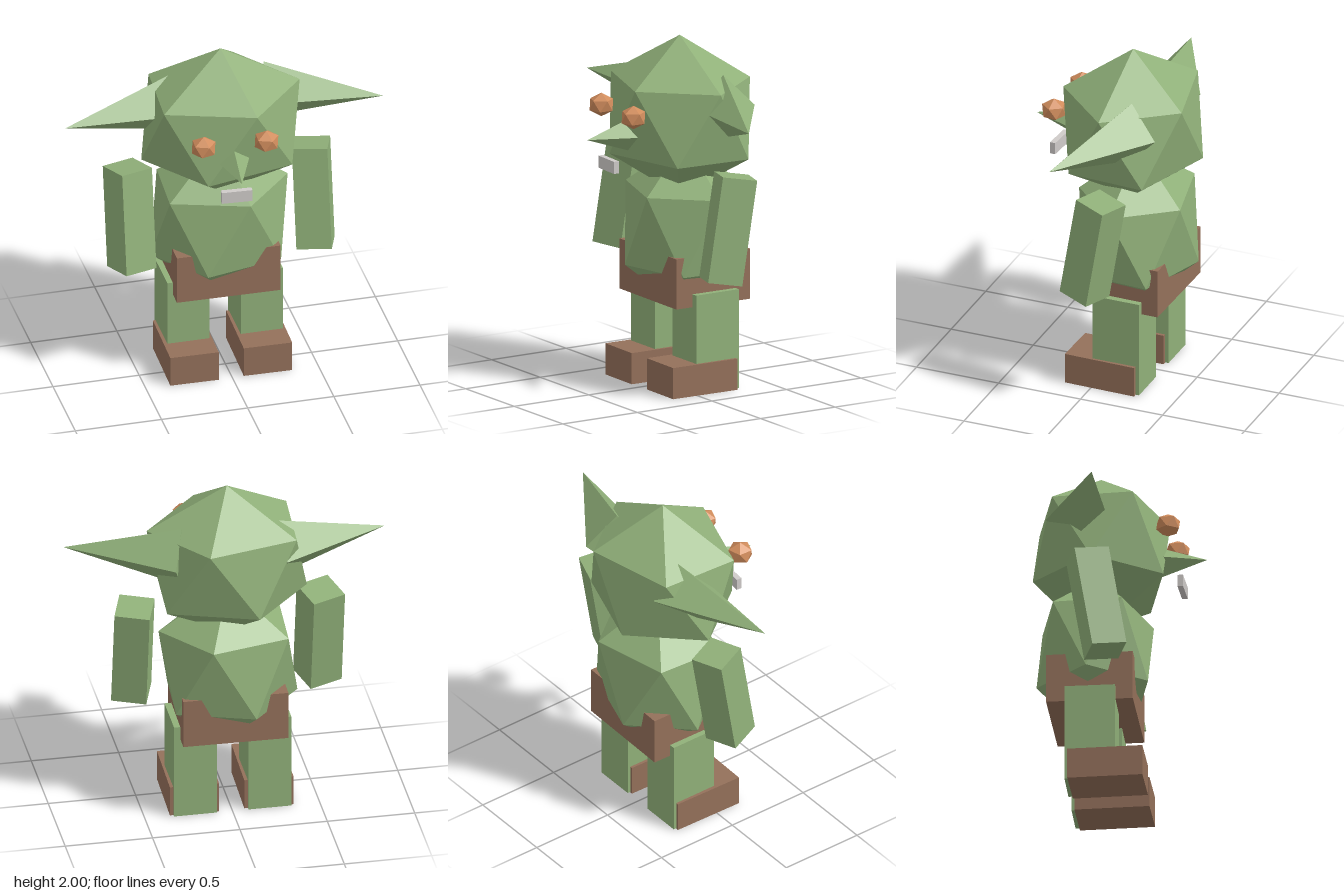
import * as THREE from 'three';

const mat = (name, color) => {
  const m = new THREE.MeshStandardMaterial({ color, flatShading: true });
  m.name = name;
  return m;
};

// Twenty-sided ball standing on a corner, turned slightly about y
function icoBall(rx, ry, rz, turn = 3) {
  const pos = [0, ry, 0, 0, -ry, 0];
  for (const [y, offset] of [[0.447, 0], [-0.447, 36]]) {
    for (let i = 0; i < 5; i++) {
      const a = THREE.MathUtils.degToRad(turn + offset + i * 72);
      pos.push(rx * Math.cos(a), ry * y, rz * Math.sin(a));
    }
  }
  const index = [];
  for (let i = 0; i < 5; i++) {
    const j = (i + 1) % 5;
    const [u, v, l, m] = [2 + i, 2 + j, 7 + i, 7 + j];
    index.push(0, v, u, u, v, l, l, v, m, 1, l, m);
  }
  const indexed = new THREE.BufferGeometry();
  indexed.setAttribute('position', new THREE.Float32BufferAttribute(pos, 3));
  indexed.setIndex(index);
  const geo = indexed.toNonIndexed();
  geo.computeVertexNormals();
  return geo;
}

export function createModel() {
  const model = new THREE.Group();
  model.name = 'goblin';
  const skin = mat('green skin', 0x90b079);
  const leather = mat('brown leather', 0x94705a);
  const amber = mat('amber eye', 0xd08c5c);
  const bone = mat('pale grey tooth', 0xcfcbc9);

  const add = (name, geo, material, x, y, z) => {
    const mesh = new THREE.Mesh(geo, material);
    mesh.name = name;
    mesh.position.set(x, y, z);
    model.add(mesh);
    return mesh;
  };
  const box = (w, h, d) => new THREE.BoxGeometry(w, h, d);

  // Four-sided spike from a base centre to a tip
  const spike = (name, base, tip, radius) => {
    const a = new THREE.Vector3(...base), b = new THREE.Vector3(...tip);
    const geo = new THREE.ConeGeometry(radius, a.distanceTo(b), 4).rotateX(Math.PI / 2);
    const mid = a.add(b).multiplyScalar(0.5);
    add(name, geo, skin, mid.x, mid.y, mid.z).lookAt(b);
  };

  // Head and torso
  add('head', icoBall(0.455, 0.464, 0.39), skin, 0, 1.537, -0.11);
  add('torso', icoBall(0.395, 0.488, 0.333), skin, 0, 0.897, -0.145);

  // Ears and nose
  spike('leftEar', [0.28, 1.63, -0.22], [0.91, 1.63, 0.02], 0.18);
  spike('rightEar', [-0.255, 1.63, -0.22], [-0.91, 1.63, -0.08], 0.18);
  spike('nose', [-0.012, 1.465, 0.2], [-0.03, 1.465, 0.49], 0.1);

  // Eyes and tooth
  add('leftEye', icoBall(0.068, 0.068, 0.068), amber, 0.16, 1.61, 0.305);
  add('rightEye', icoBall(0.068, 0.068, 0.068), amber, -0.2, 1.61, 0.285);
  add('tooth', box(0.175, 0.07, 0.032), bone, -0.025, 1.307, 0.35).rotation.y = -0.06;

  // Trousers
  add('trousers', box(0.6, 0.29, 0.49), leather, -0.002, 0.645, -0.145).rotation.y = -0.015;

  // Arms, legs and boots
  for (const [side, s] of [['left', 1], ['right', -1]]) {
    const arm = add(side + 'Arm', box(0.2, 0.606, 0.2), skin, s * 0.533, 0.99, -0.088);
    arm.rotation.set(-0.166, -s * 0.33, 0);
    add(side + 'Leg', box(0.245, 0.572, 0.285), skin, s * 0.213, 0.289, -0.145);
    add(side + 'Boot', box(0.28, 0.18, 0.425), leather, s * 0.213 - 0.002, 0.09, -0.055).rotation.y = -0.02;
  }
  return model;
}
